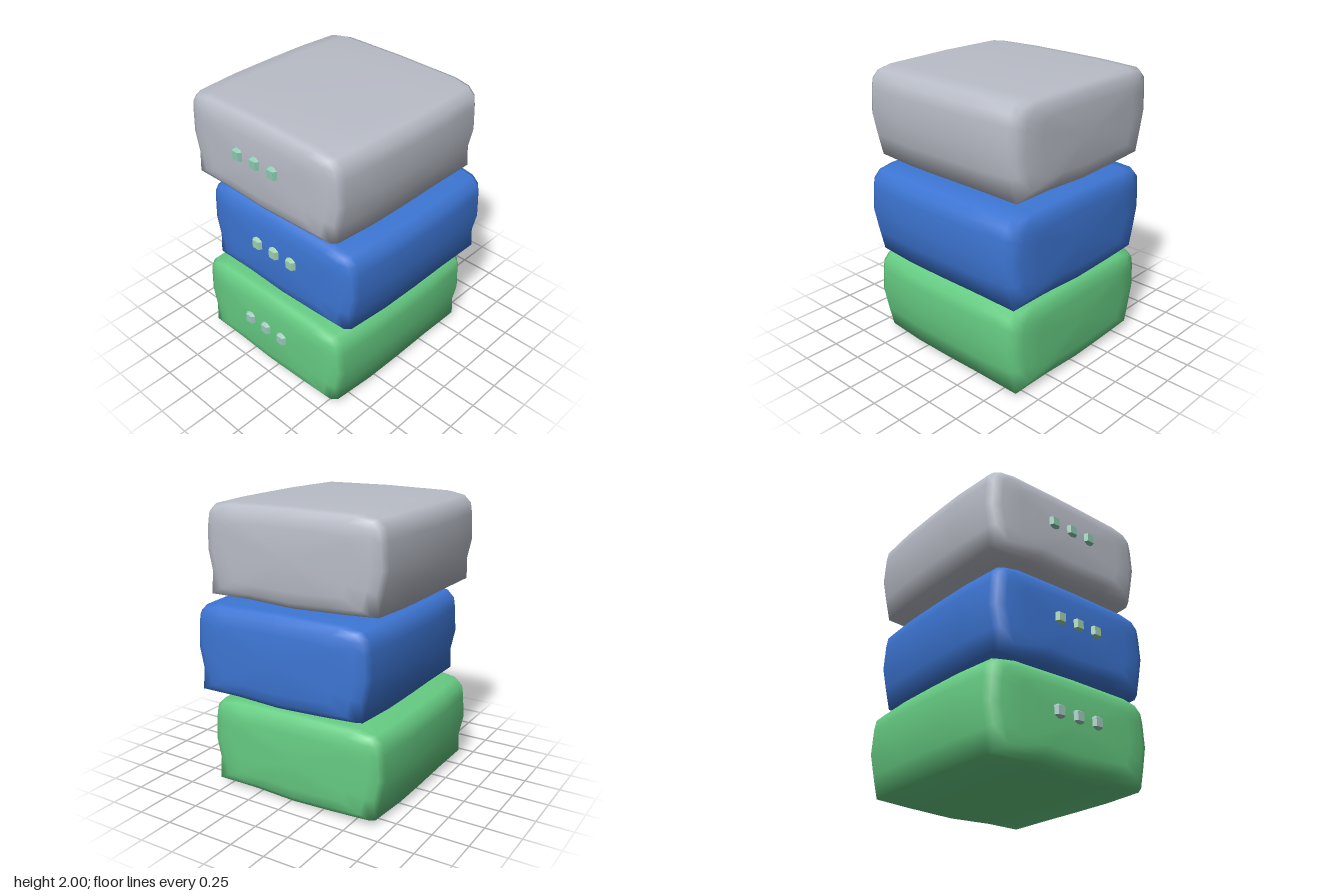
import * as THREE from 'three';
import { mergeVertices } from 'three/addons/utils/BufferGeometryUtils.js';

const mat = (name, color) => {
  const m = new THREE.MeshStandardMaterial({ color });
  m.name = name;
  return m;
};

// Half of the cross-section (x, y), from bottom centre to top centre
const HALF = [[0, 0], [0.35, 0.014], [0.625, 0.03], [0.662, 0.18], [0.695, 0.33], [0.685, 0.5],
  [0.672, 0.575], [0.62, 0.625], [0.5, 0.647], [0, 0.654]];
const CORNER = 2; // index of the sharp lower corner
// Depth stations: z, x scale, y scale
const ENDS = [[0.3, 0.995, 1], [0.6, 0.965, 0.985], [0.645, 0.925, 0.94], [0.672, 0.84, 0.82],
  [0.69, 0.65, 0.6], [0.695, 0, 0]];
const MID_Y = 0.33;

// Cushion-like block lofted front to back
function blockGeometry() {
  const outline = [...HALF, ...HALF.slice(1, -1).reverse().map(([x, y]) => [-x, y])];
  const stations = [...ENDS.slice().reverse().map(([z, a, b]) => [-z, a, b]), [0, 1, 1], ...ENDS];
  const n = outline.length;
  const pos = [], index = [];
  stations.forEach(([z, sx, sy], k) => {
    outline.forEach(([x, y], i) => {
      // two diagonal lower corners keep their full size as small pointed flares
      const isCorner = i === CORNER || i === n - CORNER;
      const flare = isCorner && x * z < 0 && Math.abs(z) > 0.5 && Math.abs(z) < 0.66;
      pos.push(flare ? x : x * sx, flare ? y : MID_Y + (y - MID_Y) * sy, z);
      if (k === stations.length - 1) return;
      const j = (i + 1) % n;
      const a = k * n + i, b = k * n + j, c = a + n, d = b + n;
      if (k > 0) index.push(a, b, d);
      if (k < stations.length - 2) index.push(a, d, c);
    });
  });
  const g = new THREE.BufferGeometry();
  g.setAttribute('position', new THREE.Float32BufferAttribute(pos, 3));
  g.setIndex(index);
  const merged = mergeVertices(g, 1e-4);
  merged.computeVertexNormals();
  return merged;
}

export function createModel() {
  const model = new THREE.Group();
  model.name = 'stackedBlocks';
  const block = blockGeometry();
  // Faceted bead with flat faces
  const bead = new THREE.SphereGeometry(0.06, 6, 3).toNonIndexed();
  bead.computeVertexNormals();

  const tiers = [
    ['bottom', -0.04, 0.005, 0.017, mat('green', 0x66cc83), mat('paleTeal', 0xa0c8be)],
    ['middle', 0.035, 0.676, -0.03, mat('blue', 0x3d76d4), mat('paleGreen', 0x9fd0ae)],
    ['top', -0.04, 1.346, 0.017, mat('grey', 0xb9bdc7), mat('mint', 0x8ecab2)],
  ];
  for (const [name, x, y, z, body, light] of tiers) {
    const tier = new THREE.Group();
    tier.name = name + 'Tier';
    tier.position.set(x, y, z);
    const b = new THREE.Mesh(block, body);
    b.name = name + 'Block';
    tier.add(b);
    // Row of three indicator beads on the front
    for (const i of [-1, 0, 1]) {
      const m = new THREE.Mesh(bead, light);
      m.name = name + 'Indicator' + (i + 2);
      m.position.set(i * 0.157, 0.371, 0.673);
      tier.add(m);
    }
    model.add(tier);
  }
  return model;
}
